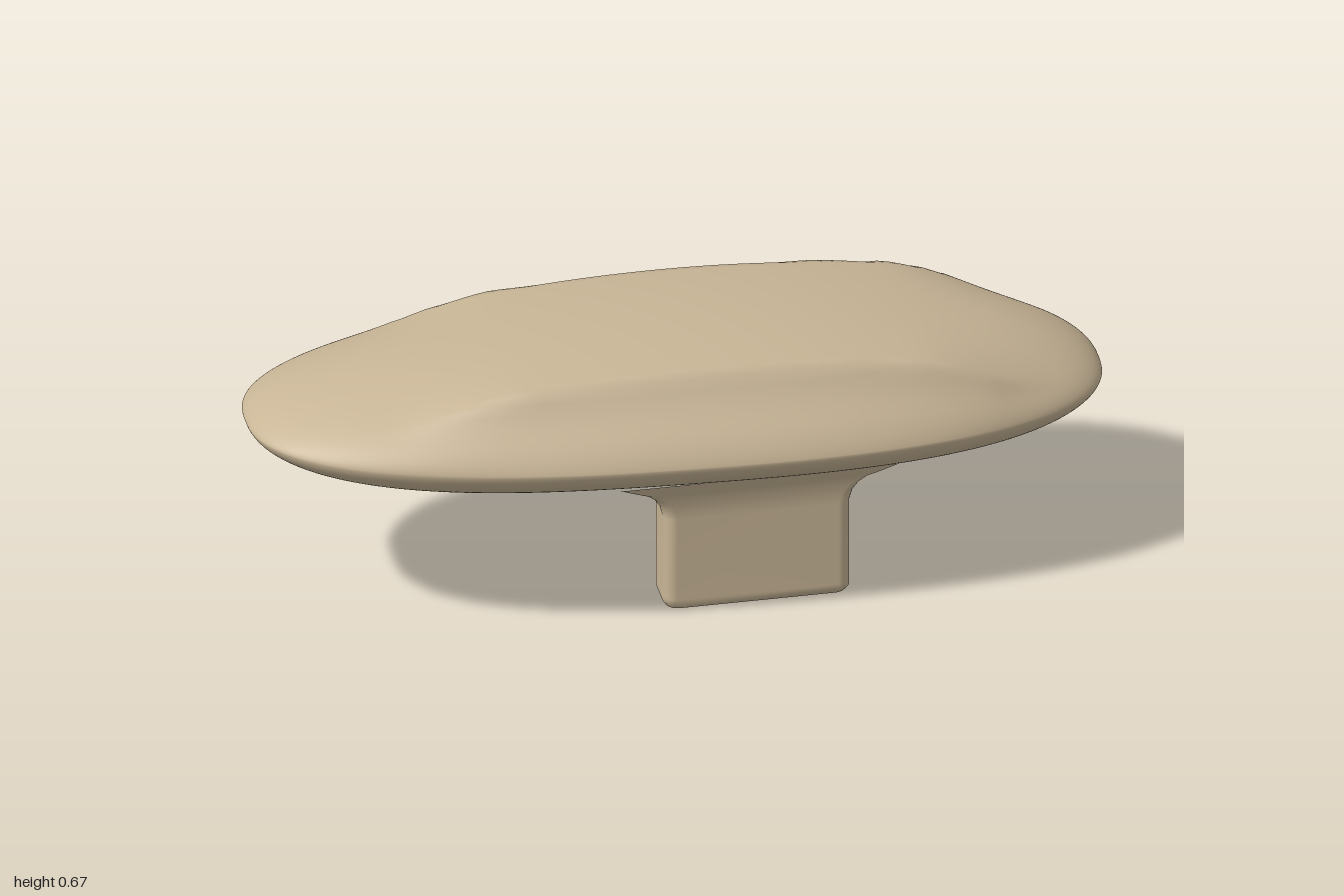
import * as THREE from 'three';

const L = 1.03, W = 0.39, N = 2.45; // half length, half width and squareness of the head outline

// Skin a list of closed rings of [x, y, z] points.
function loft(rings) {
  const n = rings[0].length, index = [];
  for (let r = 0; r < rings.length - 1; r++) {
    for (let i = 0; i < n; i++) {
      const j = (i + 1) % n;
      const a = r * n + i, b = a + n, c = r * n + j, d = c + n;
      index.push(a, b, c, c, b, d);
    }
  }
  const geo = new THREE.BufferGeometry();
  geo.setAttribute('position', new THREE.Float32BufferAttribute(rings.flat(2), 3));
  geo.setIndex(index);
  geo.computeVertexNormals();
  return geo;
}

// Cross profile of the top: flat crown, crease at c, then a slightly hollow flank.
function crownProfile(t, c) {
  if (t < c) return 1 - 0.08 * (t / c) ** 2;
  const q = (t - c) / (1 - c);
  return 0.92 * (Math.max(0, 1 - q) ** 0.8 - 0.14 * Math.sin(Math.PI * q) * (1 - q));
}

// Long domed head, built from cross-sections along its length.
function headGeometry() {
  const rings = [], steps = 96, around = 112;
  for (let k = 0; k <= steps; k++) {
    const s = -Math.cos((k / steps) * Math.PI);
    const a = Math.min(1, Math.abs(s)), u = s * L;
    const w = W * Math.max(0, 1 - a ** N) ** (1 / N);
    const rim = 0.47 - 0.03 * u;
    const rise = (0.672 - rim) * Math.max(0, 1 - a * a) ** 0.62;
    const drop = 0.128 * Math.max(0, 1 - a ** 4) ** 0.6;
    const crease = Math.min(0.8, 0.25 / Math.max(w, 0.01));
    const fade = THREE.MathUtils.smoothstep(Math.abs(s - 0.08), 0.45, 0.8);
    const ring = [];
    for (let i = 0; i < around; i++) {
      const p = (i / around) * Math.PI * 2, t = Math.cos(p), m = Math.min(1, Math.abs(t));
      const soft = Math.max(0, 1 - m * m) ** 0.62;
      const y = Math.sin(p) >= 0
        ? rim + rise * THREE.MathUtils.lerp(crownProfile(m, crease), soft, fade)
        : rim - drop * Math.max(0, 1 - m ** 3) ** 0.6;
      ring.push([u, y, w * t]);
    }
    rings.push(ring);
  }
  return loft(rings);
}

// Rounded rectangular stem that flares out under the head.
function stemGeometry(cx, cz, halfLength, halfWidth, radius) {
  // height, growth lengthwise, growth widthwise
  const levels = [
    [0, -halfLength, -halfWidth], [0, -0.02, -0.02], [0.004, -0.008, -0.008], [0.018, 0, 0],
    [0.03, 0, 0], [0.25, 0, 0], [0.28, 0.008, 0.003], [0.305, 0.025, 0.008],
    [0.325, 0.05, 0.014], [0.34, 0.085, 0.022], [0.36, 0.13, 0.03],
  ];
  const corner = 8;
  return loft(levels.map(([y, gl, gw]) => {
    const hl = halfLength + gl, hw = halfWidth + gw, r = Math.min(radius, hl, hw), ring = [];
    for (let q = 0; q < 4; q++) {
      const sx = q === 0 || q === 3 ? 1 : -1, sz = q < 2 ? 1 : -1;
      for (let i = 0; i <= corner; i++) {
        const a = (q + i / corner) * Math.PI / 2;
        ring.push([cx + sx * (hl - r) + r * Math.cos(a), y, cz + sz * (hw - r) + r * Math.sin(a)]);
      }
    }
    return ring;
  }));
}

export function createModel() {
  const group = new THREE.Group();
  group.name = 'knob';
  const tan = new THREE.MeshStandardMaterial({ color: 0xc8b596 });
  tan.name = 'tan';

  const head = new THREE.Mesh(headGeometry(), tan);
  head.name = 'head';
  const stem = new THREE.Mesh(stemGeometry(0.16, 0.17, 0.225, 0.068, 0.03), tan);
  stem.name = 'stem';

  // The whole knob is turned about the vertical.
  const turned = new THREE.Group();
  turned.name = 'turnedKnob';
  turned.rotation.y = THREE.MathUtils.degToRad(-17.5);
  turned.add(head, stem);
  group.add(turned);
  return group;
}
